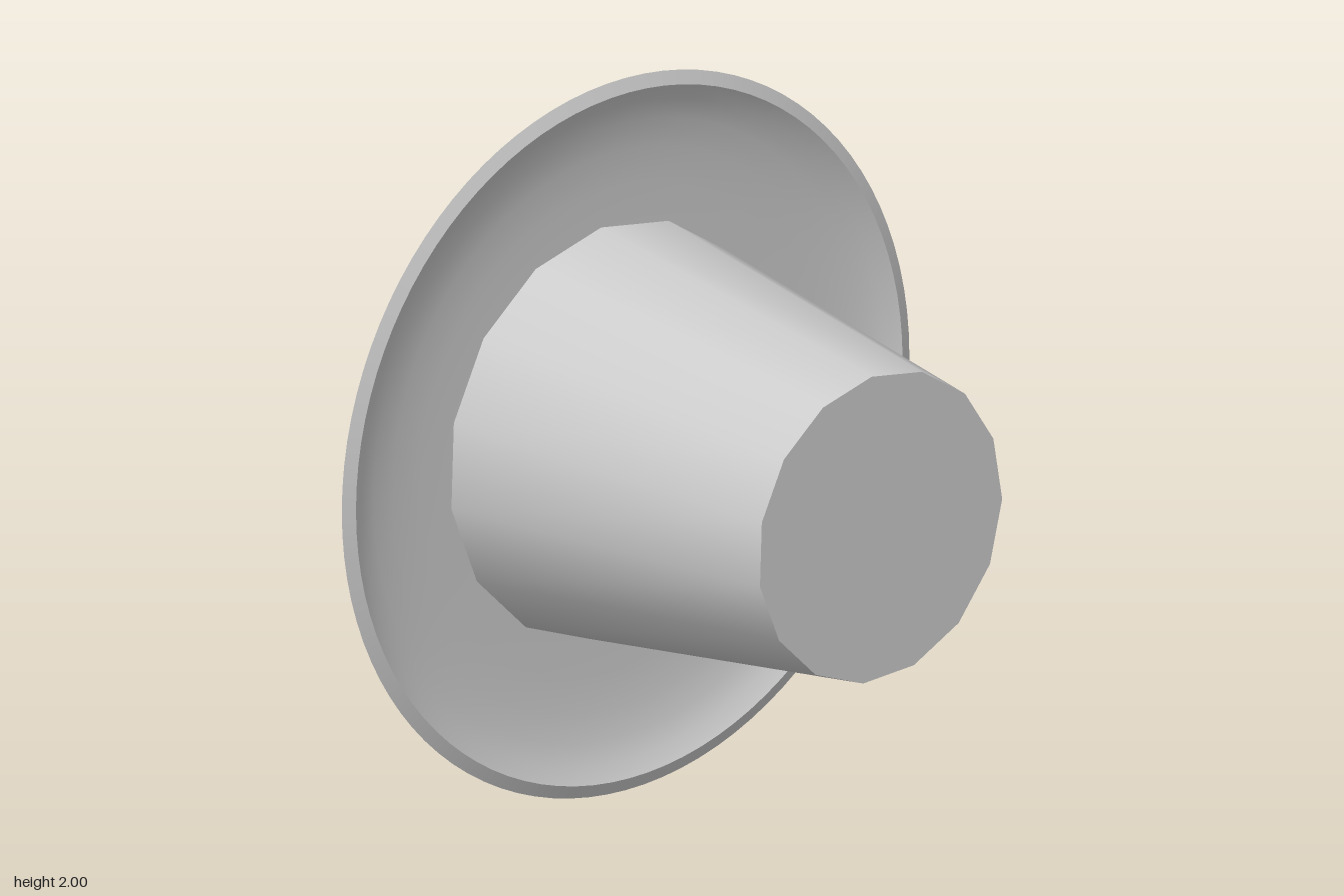
import * as THREE from 'three';

const material = new THREE.MeshStandardMaterial({ color: 0xcccccc });

// Revolves a profile of [radius, z] pairs around the z axis.
function revolve(name, profile, segments, phase = 0) {
  const points = profile.map(([r, z]) => new THREE.Vector2(r, z));
  const geometry = new THREE.LatheGeometry(points, segments, phase);
  geometry.rotateX(Math.PI / 2);
  const mesh = new THREE.Mesh(geometry, material);
  mesh.name = name;
  return mesh;
}

export function createModel() {
  const model = new THREE.Group();
  model.name = 'flangedCup';

  // Tapered outer cup with 15 sides and a flat closed end
  const sides = 15, phase = Math.PI + 0.07;
  model.add(revolve('cupWall', [[0.577, -0.535], [0.43, 0.555]], sides, phase));
  model.add(revolve('cupEnd', [[0.43, 0.555], [0, 0.555]], sides, phase));

  // Hollow inside, open at the back
  model.add(revolve('cavityFloor', [[0, 0.535], [0.412, 0.535]], 64));
  model.add(revolve('cavityWall', [[0.412, 0.535], [0.515, -0.22], [0.545, -0.555]], 64));

  // Dished flange: rounded back, bevelled rim, hollow front
  model.add(revolve('flangeBack', [
    [0.545, -0.555], [0.7, -0.557], [0.8, -0.55], [0.87, -0.535], [0.94, -0.512], [1, -0.48],
  ], 96));
  model.add(revolve('flangeRim', [[1, -0.48], [0.963, -0.465]], 96));
  model.add(revolve('flangeFront', [
    [0.963, -0.465], [0.92, -0.492], [0.86, -0.512], [0.78, -0.525], [0.68, -0.532], [0.55, -0.533],
  ], 96));

  model.position.y = 1;
  const root = new THREE.Group();
  root.add(model);
  return root;
}
